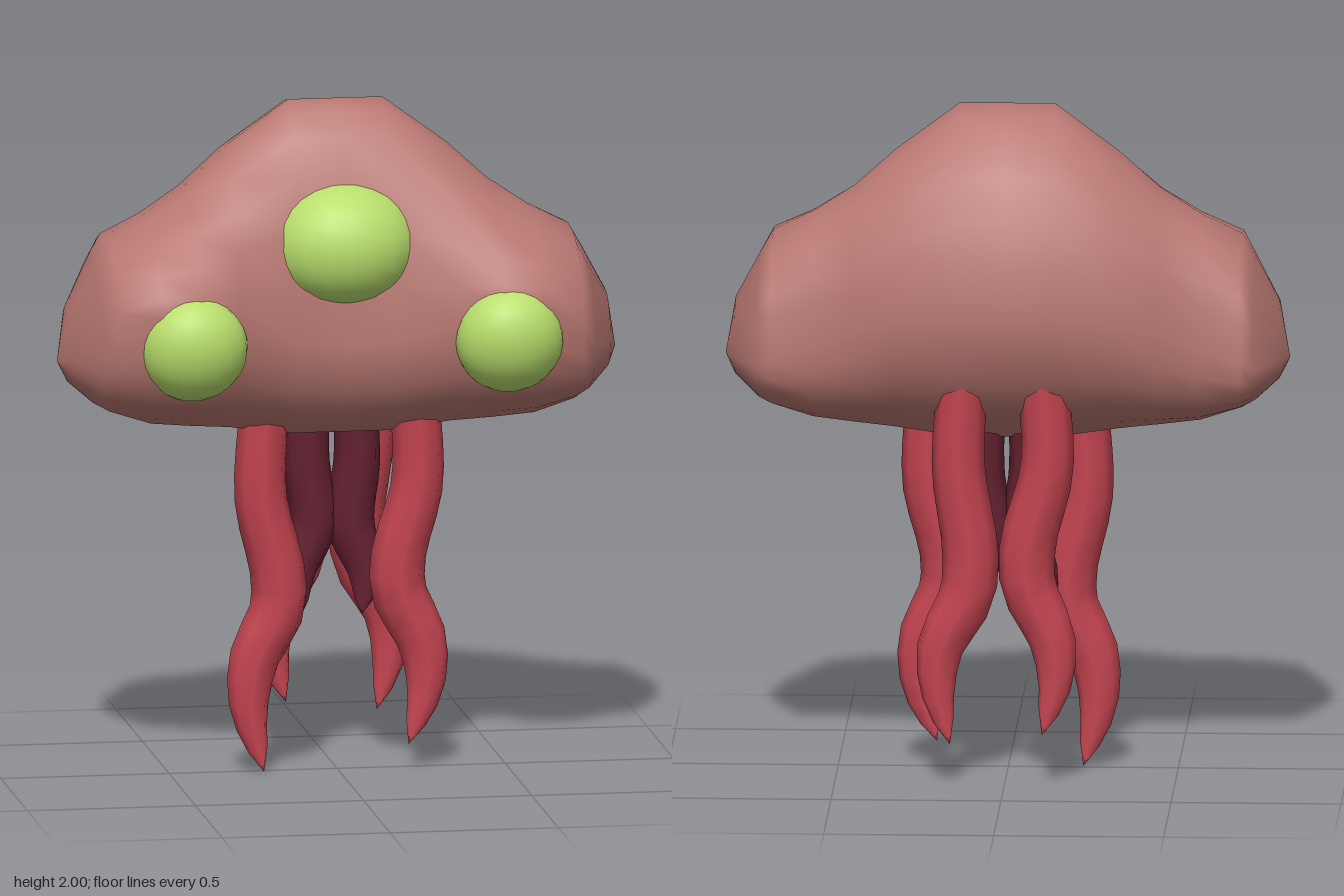
import * as THREE from 'three';

// Half of the body as cross-sections from the middle to the side tip:
// x, top y, top z, bottom y, bottom z, front z, front y, back z, back y, squareness, brow squareness
const SECTIONS = [
  [0.00, 2.00, -0.04, 1.00, -0.04, 0.20, 1.30, -0.41, 1.43, 1.85, 1.9],
  [0.14, 2.00, -0.04, 1.00, -0.04, 0.205, 1.31, -0.41, 1.43, 1.85, 1.9],
  [0.33, 1.86, -0.05, 1.03, -0.03, 0.285, 1.38, -0.37, 1.40, 2.0, 1.7],
  [0.45, 1.75, -0.04, 1.045, -0.02, 0.335, 1.43, -0.315, 1.36, 2.3, 1.6],
  [0.57, 1.67, -0.03, 1.06, -0.01, 0.335, 1.43, -0.275, 1.31, 2.5, 1.7],
  [0.69, 1.61, -0.02, 1.10, 0.00, 0.285, 1.36, -0.285, 1.27, 2.5, 2.2],
  [0.73, 1.54, -0.02, 1.12, 0.00, 0.245, 1.29, -0.29, 1.25, 2.1, 2.0],
  [0.80, 1.41, -0.02, 1.18, -0.01, 0.09, 1.26, -0.14, 1.25, 2.0, 2.0],
  [0.83, 1.24, -0.02, 1.24, -0.02, -0.02, 1.24, -0.02, 1.24, 2.0, 2.0],
];

function bodyGeometry(sides = 24) {
  const mirrored = SECTIONS.slice(1).reverse().map(([x, ...rest]) => [-x, ...rest]);
  const rings = [...mirrored, ...SECTIONS];
  const positions = [], index = [];
  const power = (v, n) => Math.sign(v) * Math.pow(Math.abs(v), 2 / n);
  for (const [x, top, topZ, bottom, bottomZ, front, frontY, back, backY, square, brow] of rings) {
    for (let j = 0; j < sides; j++) {
      const a = (j / sides) * Math.PI * 2;
      const n = j < sides / 4 ? brow : square;
      const c = power(Math.cos(a), n), s = power(Math.sin(a), n);
      const midZ = s >= 0 ? topZ : bottomZ, midY = c >= 0 ? frontY : backY;
      const z = midZ + Math.abs(c) * ((c >= 0 ? front : back) - midZ);
      const y = midY + Math.abs(s) * ((s >= 0 ? top : bottom) - midY);
      positions.push(x, y, z);
    }
  }
  for (let i = 0; i < rings.length - 1; i++) {
    for (let j = 0; j < sides; j++) {
      const k = (j + 1) % sides;
      const a = i * sides + j, b = a + sides, c = i * sides + k, d = c + sides;
      index.push(a, b, c, b, d, c);
    }
  }
  const geometry = new THREE.BufferGeometry();
  geometry.setAttribute('position', new THREE.Float32BufferAttribute(positions, 3));
  geometry.setIndex(index);
  geometry.computeVertexNormals();
  return geometry;
}

// Wavy tube through [x, y] points at depth z, tapering to a pointed tip
function tentacleGeometry(points, z, radius) {
  const curve = new THREE.CatmullRomCurve3(points.map(([x, y]) => new THREE.Vector3(x, y, z)));
  const segments = 16, sides = 8;
  const geometry = new THREE.TubeGeometry(curve, segments, radius, sides, false);
  const position = geometry.attributes.position;
  const v = new THREE.Vector3();
  for (let i = 0; i <= segments; i++) {
    const t = i / segments;
    const center = curve.getPointAt(t);
    const scale = t < 0.5 ? 0.88 + 0.24 * t : Math.pow(Math.max(0, 1 - ((t - 0.5) / 0.5) ** 2), 0.7);
    for (let j = 0; j <= sides; j++) {
      const k = i * (sides + 1) + j;
      v.fromBufferAttribute(position, k).sub(center).multiplyScalar(scale).add(center);
      position.setXYZ(k, v.x, v.y, v.z);
    }
  }
  return geometry;
}

export function createModel() {
  const material = (name, color) => {
    const m = new THREE.MeshStandardMaterial({ color });
    m.name = name;
    return m;
  };
  const skin = material('dusty pink skin', 0xb97872);
  const green = material('lime green', 0xb9de6c);
  const red = material('red', 0xc2434f);
  const darkRed = material('dark red', 0x642030);

  const model = new THREE.Group();
  model.name = 'threeEyedCreature';
  const add = (name, geometry, mat) => {
    const mesh = new THREE.Mesh(geometry, mat);
    mesh.name = name;
    model.add(mesh);
    return mesh;
  };

  add('body', bodyGeometry(), skin);

  // Eyes: one in the middle, one on each side lobe tilted slightly down
  const eye = (name, x, y, z, rx, ry, rz, tilt) => {
    const mesh = add(name, new THREE.SphereGeometry(1, 20, 14), green);
    mesh.position.set(x, y, z);
    mesh.scale.set(rx, ry, rz);
    mesh.rotation.x = tilt;
  };
  eye('middleEye', 0, 1.59, 0.105, 0.22, 0.185, 0.18, 0);
  eye('leftEye', 0.47, 1.322, 0.275, 0.16, 0.16, 0.125, 0.3);
  eye('rightEye', -0.47, 1.322, 0.275, 0.16, 0.16, 0.125, 0.3);

  // Tentacles: long front pair, long back pair, short inner pair
  const tentacle = (name, z, radius, mat, points) =>
    add(name, tentacleGeometry(points, z, radius), mat);
  tentacle('frontRightTentacle', 0.018, 0.083, red,
    [[-0.22, 1.1], [-0.23, 0.82], [-0.18, 0.6], [-0.18, 0.49], [-0.25, 0.34], [-0.265, 0.19], [-0.22, 0]]);
  tentacle('frontLeftTentacle', 0.018, 0.083, red,
    [[0.23, 1.1], [0.235, 0.85], [0.18, 0.64], [0.18, 0.53], [0.25, 0.38], [0.26, 0.24], [0.21, 0.07]]);
  tentacle('backRightTentacle', -0.268, 0.083, red,
    [[-0.11, 1.26], [-0.125, 0.95], [-0.07, 0.73], [-0.07, 0.6], [-0.14, 0.44], [-0.15, 0.31], [-0.11, 0.15]]);
  tentacle('backLeftTentacle', -0.268, 0.083, red,
    [[0.12, 1.26], [0.135, 0.95], [0.1, 0.7], [0.11, 0.57], [0.19, 0.41], [0.195, 0.27], [0.16, 0.12]]);
  for (const s of [-1, 1]) {
    tentacle(s > 0 ? 'innerLeftTentacle' : 'innerRightTentacle', -0.105, 0.073, darkRed,
      [[s * 0.07, 1.1], [s * 0.075, 0.9], [s * 0.055, 0.72], [s * 0.1, 0.57], [s * 0.09, 0.44]]);
  }
  return model;
}
